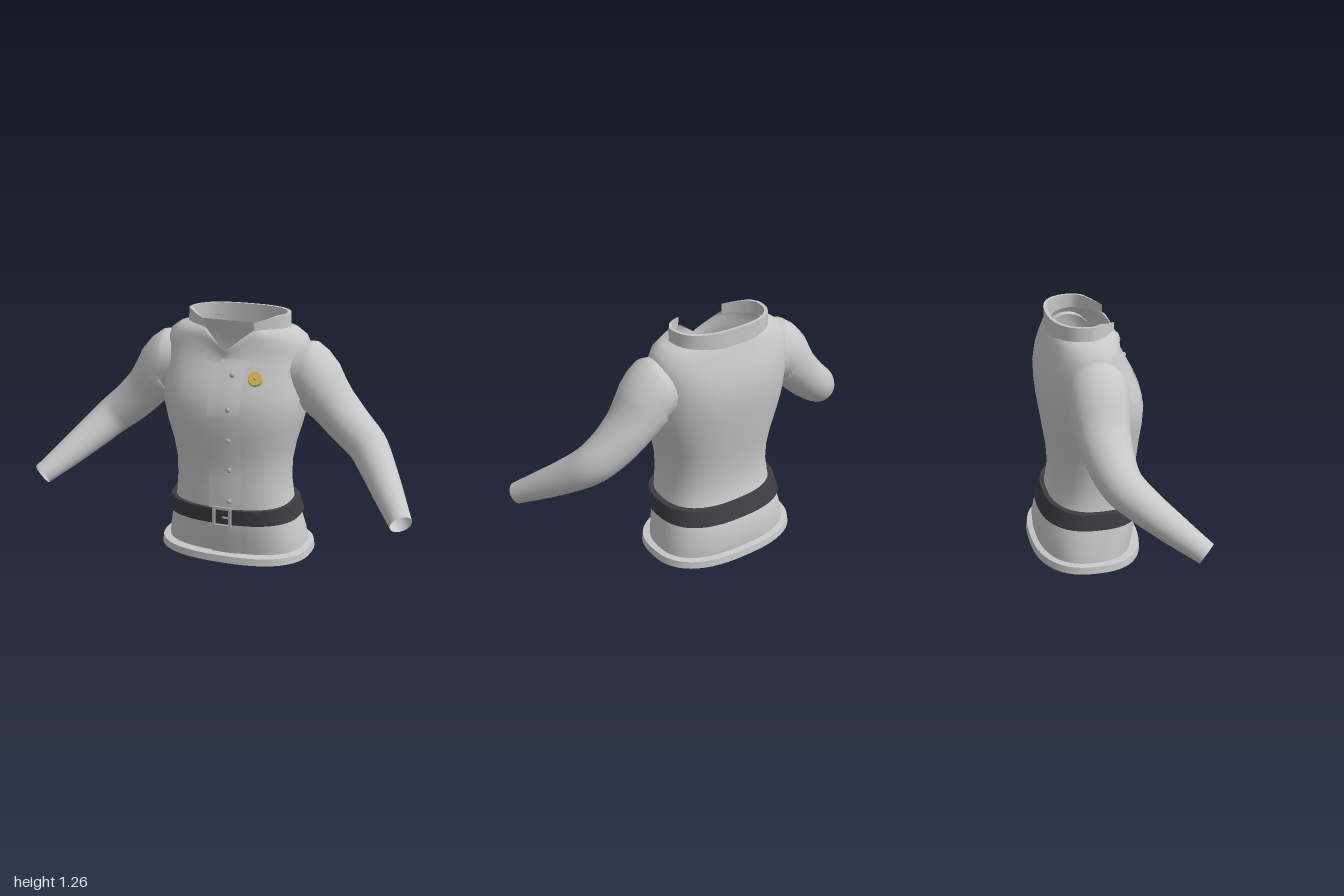
import * as THREE from 'three';
import { toCreasedNormals } from 'three/addons/utils/BufferGeometryUtils.js';

const mat = (name, color, side = THREE.DoubleSide) => {
  const m = new THREE.MeshStandardMaterial({ color, side });
  m.name = name;
  return m;
};

// Surface through rows of points; each row may be a closed loop.
function loft(rows, closed, crease = 0) {
  const n = rows[0].length, cols = closed ? n : n - 1, index = [];
  for (let i = 0; i < rows.length - 1; i++) {
    for (let j = 0; j < cols; j++) {
      const k = (j + 1) % n, a = i * n + j, b = i * n + k;
      index.push(a, b, b + n, a, b + n, a + n);
    }
  }
  const g = new THREE.BufferGeometry();
  g.setAttribute('position', new THREE.Float32BufferAttribute(rows.flat(2), 3));
  g.setIndex(index);
  g.computeVertexNormals();
  return crease ? toCreasedNormals(g, crease) : g;
}

// Rounded body section: half width, front z, back z, front and back squareness.
function section(angle, w, zf, zb, nf, nb) {
  const s = Math.sin(angle), c = Math.cos(angle), e = 2 / (c >= 0 ? nf : nb);
  const mid = (zf + zb) / 2, half = (zf - zb) / 2;
  return [
    w * Math.sign(s) * Math.abs(s) ** e,
    mid + half * Math.sign(c) * Math.abs(c) ** e,
  ];
}

const SEG = 56;
function ring(y, w, zf, zb, nf = 2.5, nb = 2.5, dip = 0) {
  return Array.from({ length: SEG }, (_, j) => {
    const angle = (j / SEG) * Math.PI * 2;
    const [x, z] = section(angle, w, zf, zb, nf, nb);
    const d = Math.cos(angle) > 0 ? dip * Math.max(0, 1 - Math.abs(x) / 0.13) : 0;
    return [x, y - d, z + 0.3 * d];
  });
}

// Body rows: y, half width, front z, back z, squareness, neckline dip
const body = [
  [0.03, 0.37, 0.165, -0.32], [0.1, 0.36, 0.18, -0.325], [0.2, 0.335, 0.2, -0.305],
  [0.3, 0.305, 0.205, -0.255], [0.4, 0.295, 0.203, -0.24], [0.5, 0.297, 0.2, -0.245],
  [0.6, 0.315, 0.21, -0.26], [0.7, 0.345, 0.222, -0.275], [0.8, 0.368, 0.226, -0.29],
  [0.88, 0.372, 0.205, -0.298], [0.96, 0.372, 0.17, -0.3], [1.04, 0.373, 0.125, -0.285, 2.5, 0.02],
  [1.1, 0.373, 0.105, -0.265, 2.4, 0.06], [1.15, 0.355, 0.1, -0.25, 2.2, 0.085],
  [1.183, 0.31, 0.1, -0.24, 1.9, 0.1], [1.195, 0.25, 0.1, -0.232, 1.6, 0.105],
];

// Front surface depth of the body at x, y
function frontZ(x, y) {
  let i = 0;
  while (i < body.length - 2 && body[i + 1][0] < y) i++;
  const t = (y - body[i][0]) / (body[i + 1][0] - body[i][0]);
  const [w, zf, zb] = [1, 2, 3].map((k) => THREE.MathUtils.lerp(body[i][k], body[i + 1][k], t));
  const mid = (zf + zb) / 2;
  return mid + (zf - mid) * (1 - (Math.abs(x) / w) ** 2.5) ** 0.4;
}

// Sleeve rows: centre x, y, z, then radius across and radius front to back
const arm = [
  [0.31, 0.975, -0.07, 0.15, 0.14], [0.385, 0.965, -0.07, 0.165, 0.15],
  [0.44, 0.89, -0.07, 0.135, 0.145], [0.51, 0.81, -0.07, 0.116, 0.13],
  [0.6, 0.72, -0.055, 0.108, 0.115], [0.69, 0.645, -0.025, 0.1, 0.102],
  [0.76, 0.575, 0.05, 0.09, 0.09], [0.85, 0.485, 0.17, 0.075, 0.075],
  [0.95, 0.388, 0.31, 0.055, 0.055],
];

function sleeveGeometry(side) {
  const curve = new THREE.CatmullRomCurve3(arm.map((p) => new THREE.Vector3(p[0], p[1], p[2])));
  const rows = [], last = arm.length - 1, steps = last * 3, sides = 24;
  const start = new THREE.Vector3(0.99, -0.15, 0);
  for (let i = 0; i <= steps; i++) {
    const u = i / 3, k = Math.min(last - 1, Math.floor(u));
    const c = curve.getPoint(i / steps);
    const t = start.clone().lerp(curve.getTangent(i / steps), THREE.MathUtils.clamp(u - 1, 0, 1)).normalize();
    const v = new THREE.Vector3(-t.y, t.x, 0).normalize();
    const b = t.clone().cross(v);
    const [rv, rz] = [3, 4].map((q) => THREE.MathUtils.lerp(arm[k][q], arm[k + 1][q], u - k));
    rows.push(Array.from({ length: sides }, (_, j) => {
      const a = (side * j / sides) * Math.PI * 2;
      const p = c.clone().addScaledVector(v, rv * Math.cos(a)).addScaledVector(b, rz * Math.sin(a));
      return [side * p.x, p.y, p.z];
    }));
  }
  return loft(rows, true);
}

// Standing collar, open at the front, tapering to its two ends
function collarGeometry() {
  const n = 48, from = 0.62, rows = [[], [], [], []];
  for (let j = 0; j <= n; j++) {
    const a = from + (j / n) * (2 * Math.PI - 2 * from);
    const end = Math.min(1, Math.min(j, n - j) / 5);
    const back = (1 - Math.cos(a)) / 2;
    const low = 1.175 + 0.02 * Math.sin(back * Math.PI) - 0.015 * back;
    const high = 1.23 + 0.027 * end;
    const [ox, oz] = section(a, 0.268, 0.11, -0.243, 1.5, 2.5);
    const th = 0.017 * end;
    const [ix, iz] = section(a, 0.268 - th, 0.11 - th, -0.243 + th, 1.5, 2.5);
    rows[0].push([ox, low, oz]);
    rows[1].push([ox * 0.985, high, oz]);
    rows[2].push([ix * 0.985, high, iz]);
    rows[3].push([ix, low, iz]);
  }
  return loft(rows, false, 0.7);
}

// Overlapping button strip, following the chest and curving in at the neck
function placketGeometry() {
  const rows = [];
  for (let i = 0; i <= 28; i++) {
    const y = 0.038 + (i / 28) * 1.017;
    const x0 = -0.055 + 0.05 * THREE.MathUtils.smoothstep(y, 0.97, 1.07);
    const at = (x, d) => [x, y, frontZ(x, y) + d];
    rows.push([at(x0, -0.004), at(x0, 0.008), at(0.02, 0.008), at(0.07, 0.006), at(0.13, -0.002)]);
  }
  return loft(rows, false, 0.7);
}

export function createModel() {
  const group = new THREE.Group();
  const fabric = mat('grey fabric', 0xc8c8c8);
  const leather = mat('dark leather', 0x3c3c42);
  const silver = mat('silver metal', 0xb4b4b6);
  const gold = mat('gold metal', 0xd6b456);
  const add = (name, geometry, material) => {
    const m = new THREE.Mesh(geometry, material);
    m.name = name;
    group.add(m);
    return m;
  };

  // Shirt
  add('torso', loft(body.map(([y, w, zf, zb, n = 2.5, dip = 0]) => ring(y, w, zf, zb, n, Math.max(n, 2.2), dip)), true), fabric);
  add('placket', placketGeometry(), fabric);
  add('leftSleeve', sleeveGeometry(1), fabric);
  add('rightSleeve', sleeveGeometry(-1), fabric);
  add('collar', collarGeometry(), fabric);
  add('hem', loft([
    ring(0.012, 0.37, 0.165, -0.32), ring(0, 0.405, 0.215, -0.355),
    ring(0.037, 0.4, 0.212, -0.35), ring(0.042, 0.362, 0.16, -0.315),
  ], true, 0.6), fabric);

  // Belt and buckle
  add('belt', loft([
    ring(0.218, 0.325, 0.19, -0.29), ring(0.215, 0.351, 0.217, -0.312),
    ring(0.295, 0.335, 0.221, -0.28), ring(0.297, 0.3, 0.195, -0.245),
  ], true, 0.6), leather);
  const frame = new THREE.Shape([[-0.05, -0.055], [0.05, -0.055], [0.05, 0.055], [-0.05, 0.055]].map((p) => new THREE.Vector2(...p)));
  frame.holes.push(new THREE.Path([[-0.036, -0.041], [-0.036, 0.041], [0.036, 0.041], [0.036, -0.041]].map((p) => new THREE.Vector2(...p))));
  add('buckle', new THREE.ExtrudeGeometry(frame, { depth: 0.01, bevelEnabled: false }), silver).position.set(0.02, 0.255, 0.222);
  add('bucklePin', new THREE.BoxGeometry(0.045, 0.008, 0.008), silver).position.set(0.045, 0.255, 0.226);

  // Buttons
  for (const y of [0.985, 0.825, 0.665, 0.505, 0.34]) {
    const b = add('button', new THREE.SphereGeometry(0.014, 14, 10), silver);
    b.position.set(0.053, y, frontZ(0.053, y) + 0.009);
    b.scale.z = 0.7;
  }

  // Chest badge
  const badge = new THREE.Group();
  badge.name = 'badge';
  const disc = new THREE.Mesh(new THREE.CylinderGeometry(0.034, 0.038, 0.014, 24), gold);
  const boss = new THREE.Mesh(new THREE.SphereGeometry(0.008, 12, 8), gold);
  disc.name = 'badgeDisc';
  boss.name = 'badgeBoss';
  boss.position.y = 0.007;
  badge.add(disc, boss);
  badge.position.set(0.17, 0.975, frontZ(0.17, 0.975) + 0.008);
  badge.quaternion.setFromUnitVectors(new THREE.Vector3(0, 1, 0), new THREE.Vector3(0.22, 0.5, 1).normalize());
  group.add(badge);

  return group;
}
